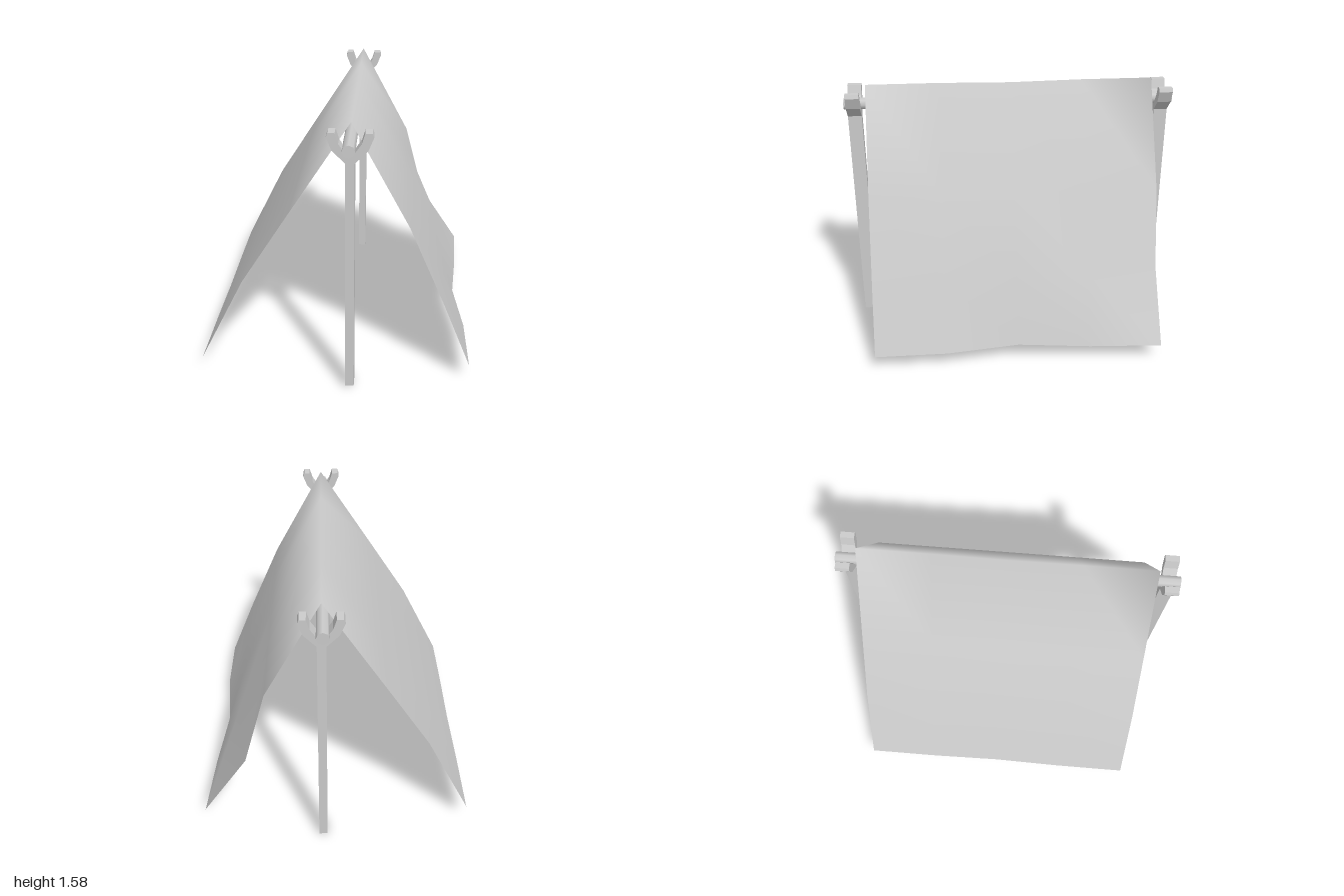
import * as THREE from 'three';

const POLE_X = 0.077;

export function createModel() {
  const group = new THREE.Group();
  const grey = new THREE.MeshStandardMaterial({ color: 0xcccccc });
  const flat = new THREE.MeshStandardMaterial({ color: 0xcccccc, flatShading: true });
  const cloth = new THREE.MeshStandardMaterial({ color: 0xcccccc, side: THREE.DoubleSide });

  const add = (name, geometry, material, parent = group) => {
    const mesh = new THREE.Mesh(geometry, material);
    mesh.name = name;
    parent.add(mesh);
    return mesh;
  };

  // Canvas sheet: one profile swept along z, with a few drooping points
  const profile = [[-0.8, 0.105], [-0.54, 0.62], [-0.27, 1.04], [0.077, 1.575],
    [0.4, 0.98], [0.605, 0.51], [0.77, 0.105]];
  const columns = [-0.866, -0.433, 0, 0.433, 0.866];
  const point = (row, col) => {
    let [x, y] = profile[row];
    if (row === 3 && col === 2) y -= 0.007; // sagging ridge
    if (row === 0 && col === 2) { x += 0.006; y += 0.008; }
    if (row === 6 && col === 2) { x = 0.727; y = 0.112; } // hem pulled inward
    if (row === 6 && col === 0) x = 0.796; // flared back corner
    if (row === 5 && col === 0) { x = 0.53; y = 0.5; } // folded back edge
    return [x, y, columns[col]];
  };
  const positions = [], index = [];
  const n = columns.length;
  profile.forEach((_, r) => columns.forEach((_, c) => {
    positions.push(...point(r, c));
    if (r && c) {
      const d = r * n + c, b = d - n;
      index.push(b - 1, b, d - 1, b, d, d - 1);
    }
  }));
  const sheet = new THREE.BufferGeometry();
  sheet.setAttribute('position', new THREE.Float32BufferAttribute(positions, 3));
  // Reverse the winding so the outside faces up
  for (let i = 0; i < index.length; i += 3) [index[i], index[i + 1]] = [index[i + 1], index[i]];
  sheet.setIndex(index);
  sheet.computeVertexNormals();
  add('canvasSheet', sheet, cloth);

  // Ridge pole resting in the forks
  const ridge = add('ridgePole', new THREE.CylinderGeometry(0.036, 0.036, 2, 8), grey);
  ridge.rotation.x = Math.PI / 2 - 0.006;
  ridge.position.set(0.07, 1.452, 0);

  // Forked end posts: right half outline of the fork, mirrored
  const half = [[0.026, 1.385], [0.095, 1.455], [0.123, 1.525], [0.115, 1.547],
    [0.078, 1.547], [0.06, 1.49], [0.025, 1.44], [0, 1.428]];
  const outline = [...half, ...half.slice(0, -1).reverse().map(([x, y]) => [-x, y])];
  const depth = 0.082;
  const makePost = (name, z, bottom, lift) => {
    const post = new THREE.Group();
    post.name = name;
    post.position.set(POLE_X, 0, z);
    group.add(post);
    const top = 1.39 + lift;
    add('postShaft', new THREE.BoxGeometry(0.05, top - bottom, depth), flat, post)
      .position.y = (top + bottom) / 2;
    const shape = new THREE.Shape(outline.map(([x, y]) => new THREE.Vector2(x, y + lift)));
    const fork = new THREE.ExtrudeGeometry(shape, { depth, bevelEnabled: false });
    fork.translate(0, 0, -depth / 2);
    add('postFork', fork, flat, post);
  };
  makePost('frontPost', 0.938, 0.018, 0.004);
  makePost('backPost', -0.932, 0, -0.006);

  return group;
}
